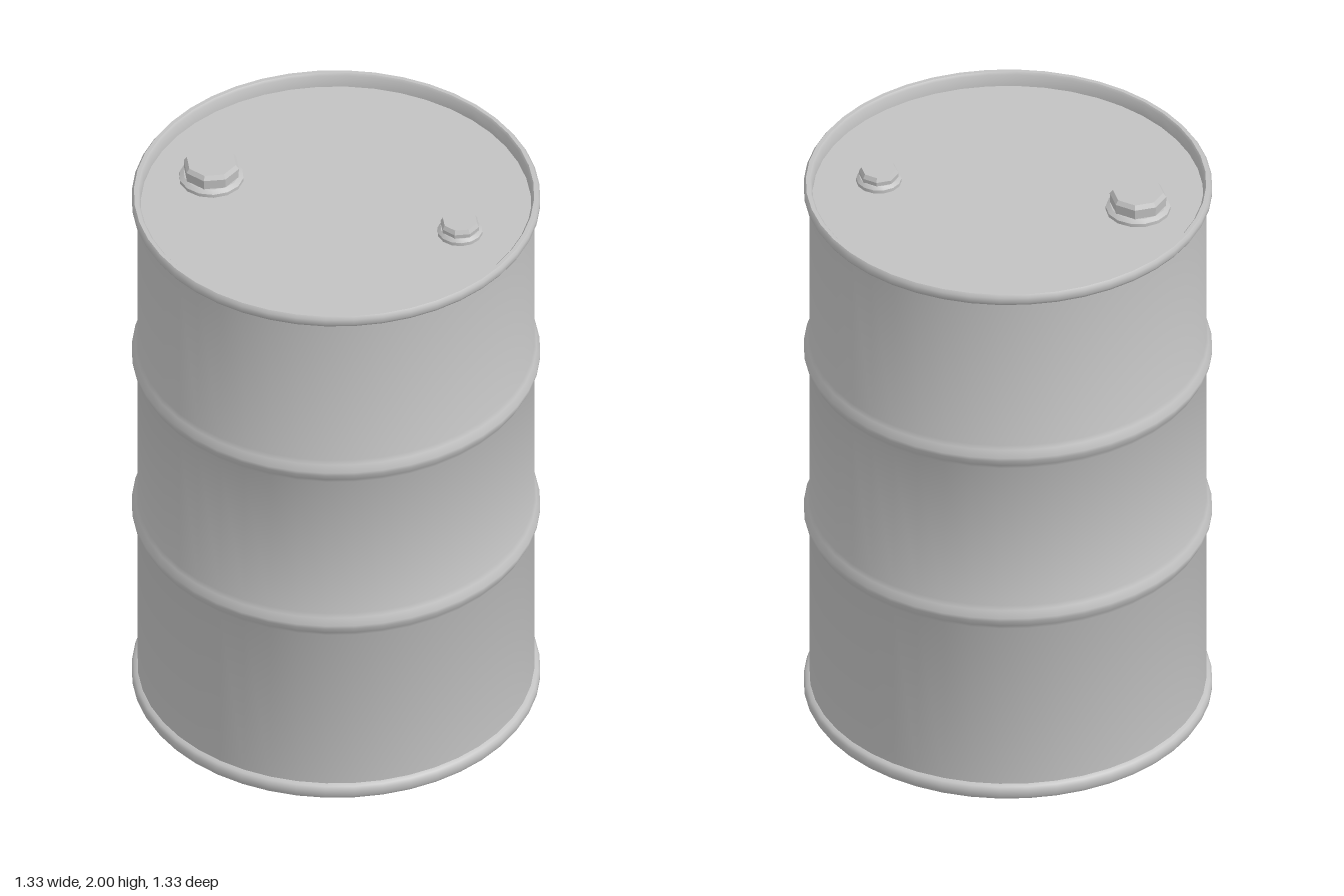
import * as THREE from 'three';
import { toCreasedNormals } from 'three/addons/utils/BufferGeometryUtils.js';

const steel = new THREE.MeshStandardMaterial({ color: 0xc2c2c2 });
steel.name = 'bare steel';

const LID_Y = 1.93;

// Revolves a profile of [radius, height] points, listed from bottom to top
function lathe(name, profile, sides, crease) {
  const points = profile.map(([r, y]) => new THREE.Vector2(r, y));
  const geometry = toCreasedNormals(new THREE.LatheGeometry(points, sides), crease);
  const mesh = new THREE.Mesh(geometry, steel);
  mesh.name = name;
  return mesh;
}

// Raised rolling hoop around the wall
const hoop = (y) => [
  [0.648, y - 0.045], [0.655, y - 0.03], [0.667, y - 0.006],
  [0.667, y + 0.006], [0.655, y + 0.03], [0.648, y + 0.045],
];

// Screw plug: round flange with a faceted, slightly tapered cap
function makeBung(name, x, z, radius, height, sides) {
  const bung = new THREE.Group();
  bung.name = name;
  bung.position.set(x, LID_Y, z);
  const flange = lathe(name + 'Flange',
    [[radius, 0], [radius, 0.012], [radius * 0.86, 0.022], [0, 0.022]], 14, 0.5);
  const cap = lathe(name + 'Cap',
    [[radius * 0.86, 0.015], [radius * 0.88, height - 0.014], [radius * 0.78, height], [0, height]],
    sides, 0.3);
  bung.add(flange, cap);
  return bung;
}

export function createModel() {
  const drum = new THREE.Group();
  drum.name = 'drum';

  // Floor, bottom rim, wall with two hoops, top rim and recessed lid
  const shell = lathe('shell', [
    [0, 0.008], [0.64, 0.008], [0.645, 0], [0.66, 0], [0.667, 0.012],
    [0.667, 0.034], [0.66, 0.045], [0.648, 0.05],
    ...hoop(0.705), ...hoop(1.335),
    [0.648, 1.935], [0.66, 1.94], [0.667, 1.951], [0.667, 1.97],
    [0.66, 1.98], [0.647, 1.98], [0.641, 1.972], [0.638, LID_Y], [0, LID_Y],
  ], 44, 0.7);
  drum.add(shell);

  // Filler plug and vent plug
  drum.add(makeBung('largeBung', -0.28, -0.33, 0.106, 2 - LID_Y, 8));
  drum.add(makeBung('smallBung', 0.28, 0.325, 0.074, 0.05, 8));
  return drum;
}
